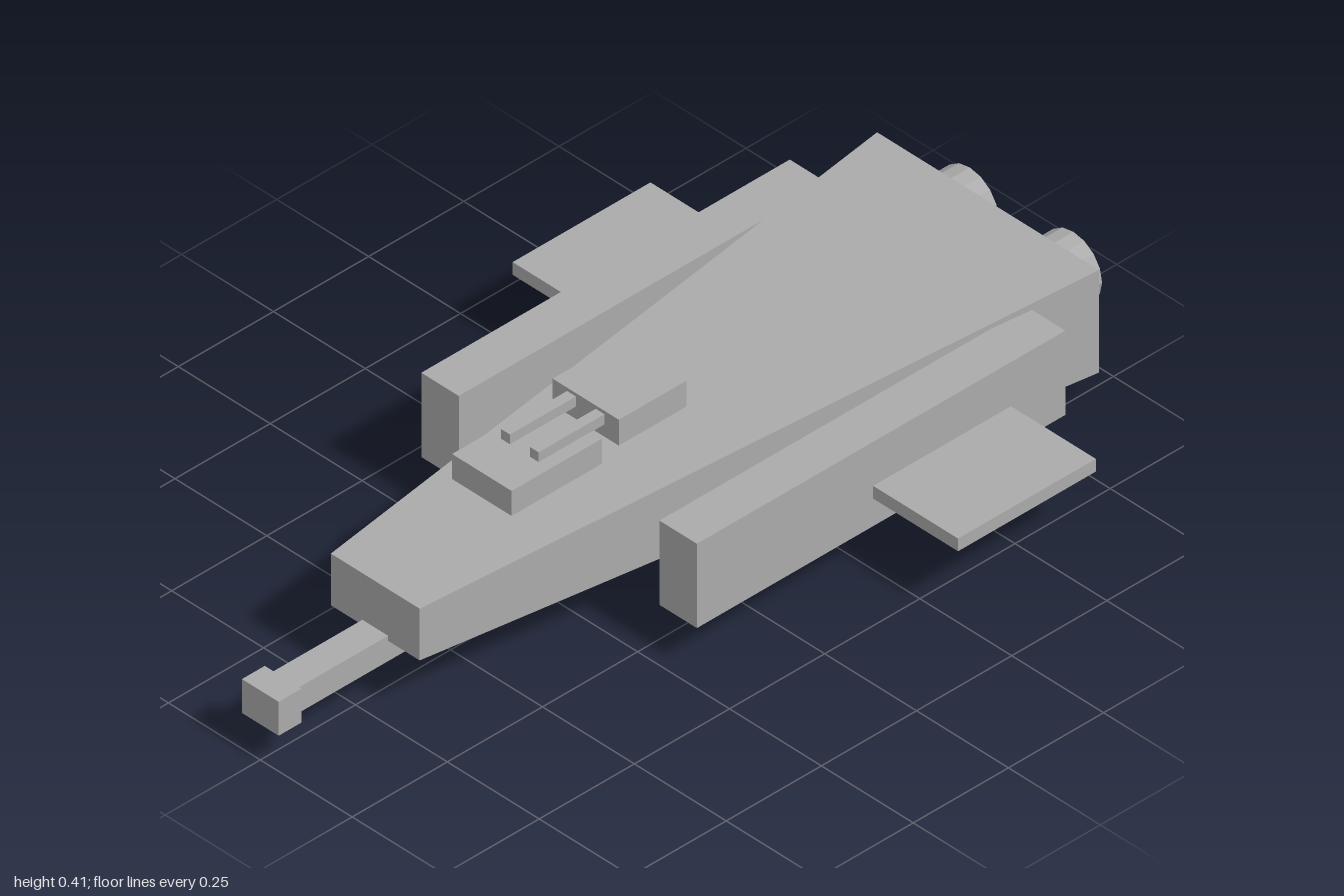
import * as THREE from 'three';

export function createModel() {
  const ship = new THREE.Group();
  ship.name = 'spaceship';
  const hullGrey = new THREE.MeshStandardMaterial({ color: 0xaaaaaa, flatShading: true });
  hullGrey.name = 'hull grey';

  const add = (name, geometry, x = 0, y = 0, z = 0) => {
    const mesh = new THREE.Mesh(geometry, hullGrey);
    mesh.name = name;
    mesh.position.set(x, y, z);
    ship.add(mesh);
    return mesh;
  };
  // Box given by its limits on each axis
  const box = (name, [x0, x1], [y0, y1], [z0, z1]) =>
    add(name, new THREE.BoxGeometry(x1 - x0, y1 - y0, z1 - z0),
      (x0 + x1) / 2, (y0 + y1) / 2, (z0 + z1) / 2);

  // Hull: a box whose front end narrows to the nose
  const hull = new THREE.BoxGeometry(0.604, 0.242, 1.61);
  const p = hull.attributes.position;
  for (let i = 0; i < p.count; i++) {
    if (p.getZ(i) > 0) p.setXY(i, Math.sign(p.getX(i)) * 0.121, Math.sign(p.getY(i)) * 0.061);
  }
  hull.computeVertexNormals();
  add('hull', hull, 0, 0.204, -0.107);

  // Nose cannon
  box('cannonBarrel', [-0.035, 0.035], [0.095, 0.155], [0.2, 0.94]);
  box('cannonMuzzle', [-0.05, 0.05], [0.084, 0.164], [0.94, 1]);

  // Upper and lower turrets
  box('upperTurretBase', [-0.081, 0.081], [0.317, 0.376], [0.18, 0.418]);
  box('upperTurret', [-0.09, 0.09], [0.346, 0.407], [-0.033, 0.145]);
  box('lowerTurret', [-0.09, 0.09], [0, 0.062], [-0.21, -0.033]);

  // Engine mounting plate
  box('enginePlate', [-0.225, 0.225], [0.105, 0.305], [-0.922, -0.91]);

  for (const [side, s] of [['left', 1], ['right', -1]]) {
    const span = (a, b) => (s > 0 ? [a, b] : [-b, -a]);
    box(side + 'Pod', span(0.273, 0.375), [0.105, 0.304], [-0.753, 0.215]);
    box(side + 'Wing', span(0.37, 0.606), [0.17, 0.2], [-0.61, -0.248]);
    box(side + 'UpperGun', span(0.027, 0.051), [0.375, 0.399], [0.14, 0.318]);
    box(side + 'LowerGun', span(0.027, 0.051), [0.01, 0.034], [-0.04, 0.14]);
    const engine = new THREE.CylinderGeometry(0.078, 0.078, 0.08, 16).rotateX(Math.PI / 2);
    add(side + 'Engine', engine, s * 0.141, 0.205, -0.96);
  }
  return ship;
}
